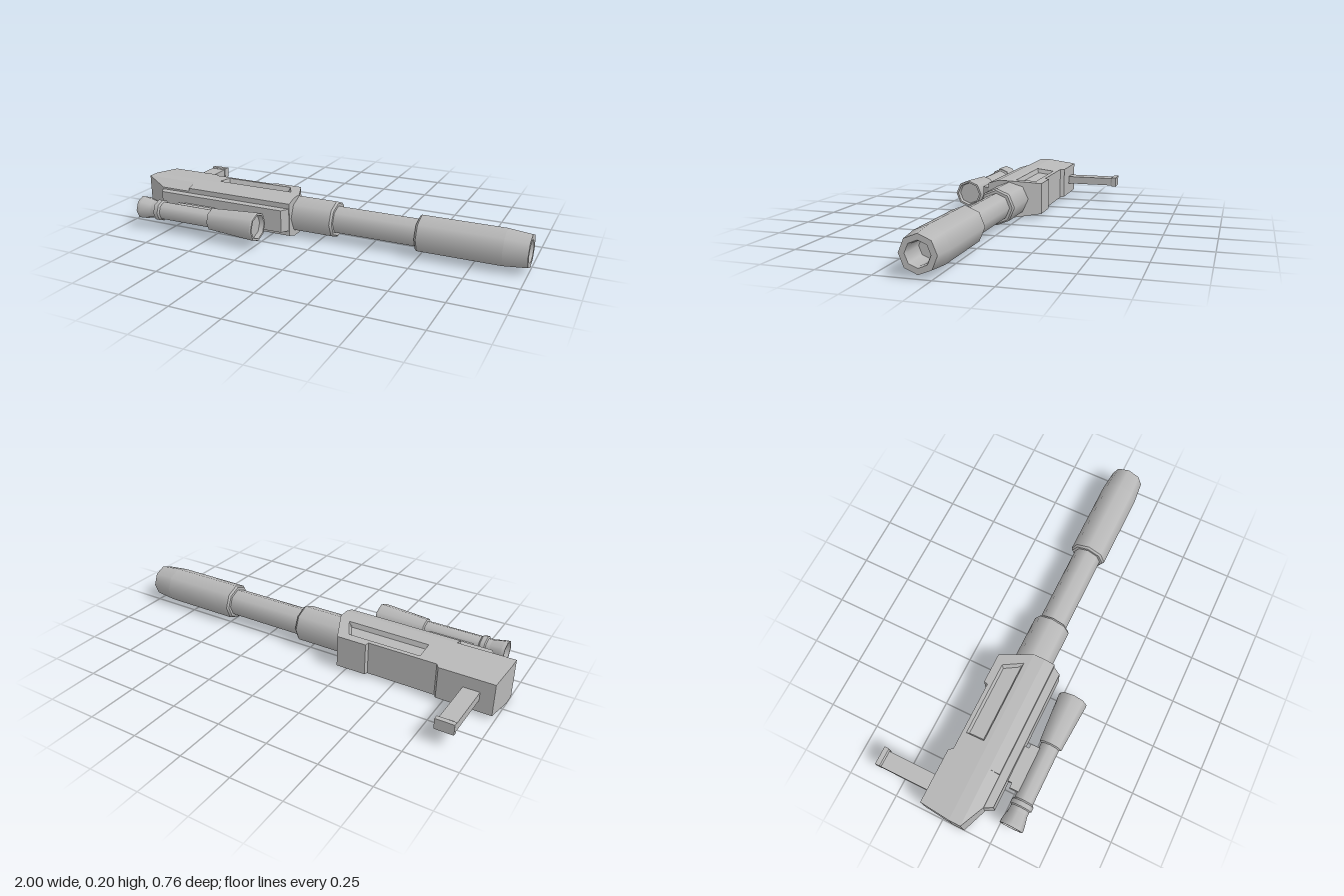
import * as THREE from 'three';
import { mergeGeometries } from 'three/addons/utils/BufferGeometryUtils.js';

const MID = 0.098; // height of the centre plane
const AXIS_Z = 0.055; // barrel axis

// Flat polygons (counter-clockwise seen from outside) as one geometry
function faces(polys) {
  const pos = [];
  for (const p of polys) {
    for (let i = 1; i < p.length - 1; i++) pos.push(...p[0], ...p[i], ...p[i + 1]);
  }
  const g = new THREE.BufferGeometry();
  g.setAttribute('position', new THREE.Float32BufferAttribute(pos, 3));
  return g;
}

// Mirror in y, keeping faces outward
function mirrorY(geo) {
  const a = geo.getAttribute('position').array;
  const out = [];
  for (let i = 0; i < a.length; i += 9) {
    for (const k of [0, 6, 3]) out.push(a[i + k], -a[i + k + 1], a[i + k + 2]);
  }
  const g = new THREE.BufferGeometry();
  g.setAttribute('position', new THREE.Float32BufferAttribute(out, 3));
  return g;
}

// Horizontal sheet from an [x, z] outline, lifted by a height rule
function sheet(outline, hole, height) {
  const v = ([x, z]) => new THREE.Vector2(x, -z);
  const shape = new THREE.Shape(outline.map(v));
  if (hole) shape.holes.push(new THREE.Path(hole.map(v)));
  const g = new THREE.ShapeGeometry(shape).rotateX(-Math.PI / 2).toNonIndexed();
  const p = g.getAttribute('position');
  for (let i = 0; i < p.count; i++) p.setY(i, height(p.getZ(i)));
  g.deleteAttribute('uv');
  g.deleteAttribute('normal');
  return g;
}

// Eight-sided turned part along x, smooth around and sharp between steps
function turned(profile) {
  const parts = [];
  for (let i = 0; i < profile.length - 1; i++) {
    const pts = [profile[i], profile[i + 1]].map(([x, r]) => new THREE.Vector2(r, x));
    parts.push(new THREE.LatheGeometry(pts, 8));
  }
  return mergeGeometries(parts).rotateZ(-Math.PI / 2);
}

function receiverGeometry() {
  const slope = (z) => 0.08 + (z + 0.1) * 0.018 / 0.155;
  // Sloping cheek outline, with a shallow step along the back edge
  const back = [[-0.985, -0.1], [-0.72, -0.1], [-0.705, -0.08], [-0.365, -0.08], [-0.36, -0.1], [-0.21, -0.1]];
  const cheek = [...back, [-0.14, 0.055], [-1, 0.055]];
  // Pocket rim and its inset floor
  const rim = [[-0.615, -0.06], [-0.25, -0.06], [-0.2, 0.032], [-0.615, 0.032]];
  const base = [[-0.607, -0.05], [-0.258, -0.05], [-0.217, 0.024], [-0.607, 0.024]];
  const floor = (z) => slope(z) - 0.022;
  const at = ([x, z], h) => [x, h(z), z];

  const half = [
    [[-1, 0.098, 0.055], [-1, 0.098, 0.113], [-0.14, 0.098, 0.113], [-0.14, 0.098, 0.055]],
    // chamfer, cut deeper towards the rear
    [[-0.72, 0.098, 0.113], [-0.72, 0.082, 0.165], [-0.14, 0.082, 0.165], [-0.14, 0.098, 0.113]],
    [[-1, 0.098, 0.113], [-0.88, 0.066, 0.165], [-0.72, 0.066, 0.165], [-0.72, 0.098, 0.113]],
    [[-0.72, 0.098, 0.113], [-0.72, 0.066, 0.165], [-0.72, 0.082, 0.165]],
  ];
  for (let i = 0; i < 4; i++) {
    const j = (i + 1) % 4;
    half.push([at(rim[i], slope), at(rim[j], slope), at(base[j], floor), at(base[i], floor)]);
  }
  const top = mergeGeometries([sheet(cheek, rim, slope), sheet(base, null, floor), faces(half)]);

  // Upright faces, given by two edges running left to right seen from outside
  const wall = ([x1, h1, z1], [x2, h2, z2]) =>
    [[x1, -h1, z1], [x2, -h2, z2], [x2, h2, z2], [x1, h1, z1]];
  const walls = [
    wall([-0.88, 0.066, 0.165], [-0.72, 0.066, 0.165]),
    wall([-0.72, 0.082, 0.165], [-0.14, 0.082, 0.165]),
    wall([-0.14, 0.082, 0.165], [-0.14, 0.098, 0.113]),
    wall([-0.14, 0.098, 0.113], [-0.14, 0.098, 0.055]),
    wall([-0.14, 0.098, 0.055], [-0.21, 0.08, -0.1]),
    wall([-0.985, 0.08, -0.1], [-1, 0.098, 0.055]),
    wall([-1, 0.098, 0.055], [-1, 0.098, 0.113]),
    wall([-1, 0.098, 0.113], [-0.88, 0.066, 0.165]),
  ];
  for (let i = 0; i < back.length - 1; i++) {
    const [a, b] = [back[i + 1], back[i]];
    walls.push(wall([a[0], slope(a[1]), a[1]], [b[0], slope(b[1]), b[1]]));
  }
  const g = mergeGeometries([top, mirrorY(top), faces(walls)]);
  g.computeVertexNormals();
  return g;
}

export function createModel() {
  const model = new THREE.Group();
  const grey = new THREE.MeshStandardMaterial({ color: 0xb8b8b8, side: THREE.DoubleSide });
  grey.name = 'grey metal';
  const add = (name, geo, x, y, z) => {
    const m = new THREE.Mesh(geo, grey);
    m.name = name;
    m.position.set(x, y, z);
    model.add(m);
    return m;
  };
  // Box given by its limits
  const box = (name, x0, x1, y0, y1, z0, z1) =>
    add(name, new THREE.BoxGeometry(x1 - x0, y1 - y0, z1 - z0), (x0 + x1) / 2, (y0 + y1) / 2, (z0 + z1) / 2);

  add('receiver', receiverGeometry(), 0, MID, 0);

  // Side plate with slanted ends
  const plate = new THREE.Shape([[-0.885, -0.16], [-0.86, -0.204], [-0.166, -0.204], [-0.14, -0.16]]
    .map(([x, y]) => new THREE.Vector2(x, y)));
  add('sidePlate', new THREE.ExtrudeGeometry(plate, { depth: 0.112, bevelEnabled: false }).rotateX(-Math.PI / 2), 0, 0.043, 0);

  // Barrel: sleeve, tube, muzzle and hollow bore
  add('barrel', turned([
    [-0.22, 0.092], [0.062, 0.092], [0.072, 0.084], [0.072, 0.07],
    [0.485, 0.07], [0.485, 0.084], [0.495, 0.092], [0.89, 0.092],
    [1, 0.081], [1, 0.055], [0.985, 0.049], [0.88, 0.049], [0.88, 0],
  ]), 0, MID, AXIS_Z);

  // Sight: eyepiece, ring, tube and flared front
  add('scope', turned([
    [-0.87, 0], [-0.87, 0.047], [-0.9, 0.05], [-0.9, 0.058], [-0.885, 0.058], [-0.825, 0.046],
    [-0.805, 0.046], [-0.8, 0.054], [-0.778, 0.054], [-0.77, 0.046],
    [-0.49, 0.046], [-0.485, 0.056], [-0.24, 0.072], [-0.232, 0.07],
    [-0.232, 0.06], [-0.255, 0.056], [-0.255, 0],
  ]), 0, 0.099, 0.31);
  box('scopeMountFoot', -0.72, -0.54, 0.087, 0.113, 0.2, 0.23);
  box('scopeMountRail', -0.745, -0.52, 0.08, 0.118, 0.225, 0.275);

  // Magazine stem with a flared end cap
  box('magazine', -0.92, -0.84, 0.078, 0.119, -0.36, -0.09);
  const cap = new THREE.BoxGeometry(0.09, 0.052, 0.03, 1, 1, 2).toNonIndexed();
  const p = cap.getAttribute('position');
  for (let i = 0; i < p.count; i++) {
    if (p.getZ(i) > 0.01) p.setXY(i, p.getX(i) * 0.9, p.getY(i) * 0.8);
    else if (p.getZ(i) > -0.01) p.setZ(i, 0.008);
  }
  cap.computeVertexNormals();
  add('magazineCap', cap, -0.876, 0.099, -0.368);

  return model;
}
